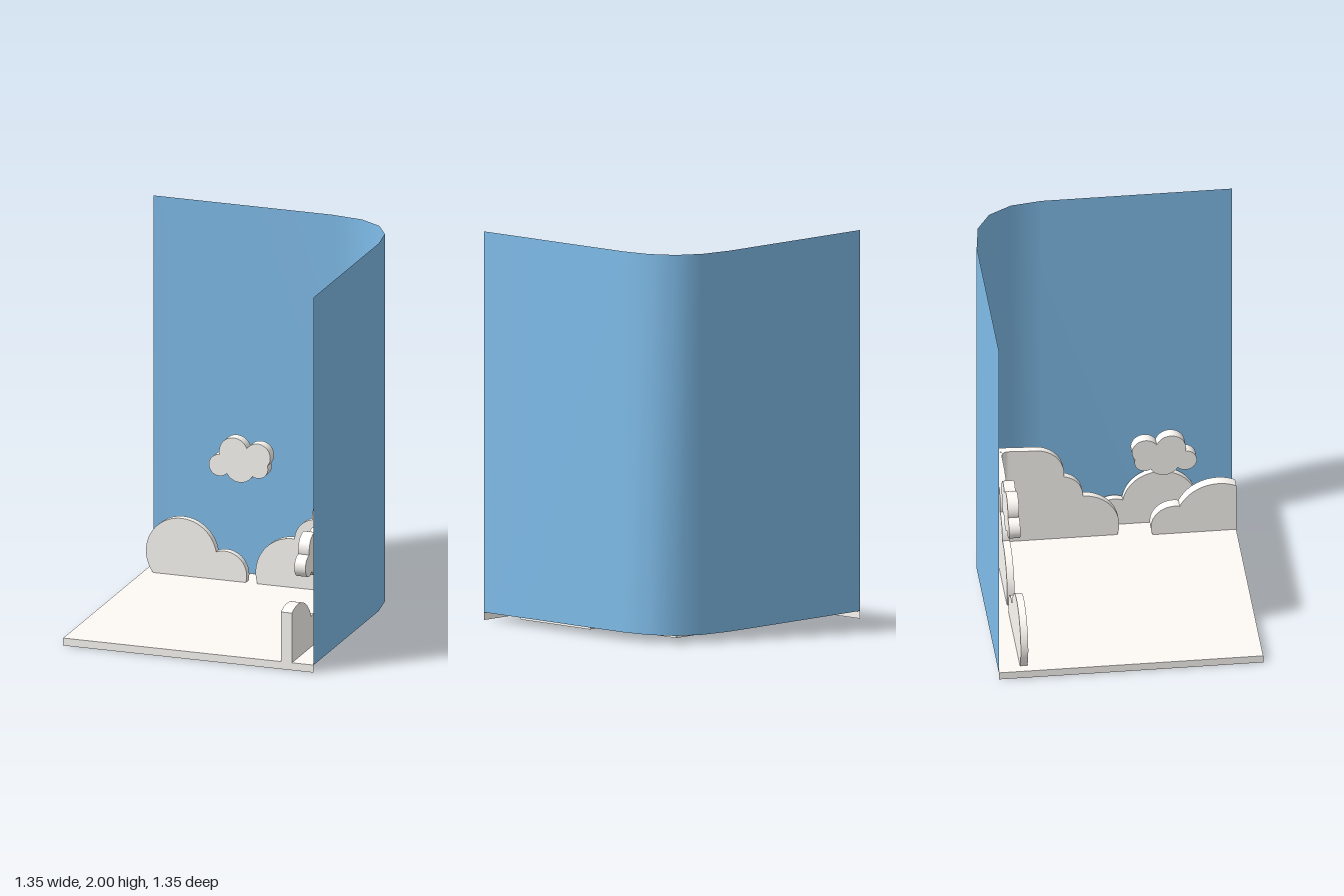
import * as THREE from 'three';

const white = new THREE.MeshStandardMaterial({ color: 0xfefbf6, side: THREE.DoubleSide });
const blue = new THREE.MeshStandardMaterial({ color: 0x80bdea, side: THREE.DoubleSide });
const FLOOR = 0.04;  // top of the base
const ROOT = 0.025;  // clouds reach a little below it
const H = 0.677;

// Where two circles [x, y, r] cross, on the left of the line from a to b
function crossing(a, b) {
  const dx = b[0] - a[0], dy = b[1] - a[1], d = Math.hypot(dx, dy);
  const m = (d * d + a[2] ** 2 - b[2] ** 2) / (2 * d);
  const h = Math.sqrt(Math.max(0, a[2] ** 2 - m * m));
  return [a[0] + (dx * m - dy * h) / d, a[1] + (dy * m + dx * h) / d];
}

// Clockwise arc of a circle between two points
function arc(shape, c, p, q) {
  shape.absarc(c[0], c[1], c[2], Math.atan2(p[1] - c[1], p[0] - c[0]),
    Math.atan2(q[1] - c[1], q[0] - c[0]), true);
}

// Cloud rooted in the base; start and end replace the ends of the arcs
function groundCloud(circles, start, end) {
  const onFloor = (c, s) => [c[0] + s * Math.sqrt(c[2] ** 2 - (ROOT - c[1]) ** 2), ROOT];
  const n = circles.length, shape = new THREE.Shape();
  const first = start || onFloor(circles[0], -1);
  const last = end || onFloor(circles[n - 1], 1);
  shape.moveTo(first[0], ROOT);
  if (start) shape.lineTo(...start);
  circles.forEach((c, i) => arc(shape, c,
    i ? crossing(circles[i - 1], c) : first,
    i < n - 1 ? crossing(c, circles[i + 1]) : last));
  return shape;
}

// Closed ring of arcs
function floatingCloud(circles) {
  const n = circles.length, shape = new THREE.Shape();
  circles.forEach((c, i) => arc(shape, c,
    crossing(circles[(i + n - 1) % n], c), crossing(c, circles[(i + 1) % n])));
  return shape;
}

// One wing of the corner cloud: three rising lobes, then a flat top to x = end
function cornerWing(circles, end) {
  const c = circles[2];
  const wing = groundCloud(circles, null, [c[0] + 0.012, c[1] + c[2] - 0.001]);
  wing.lineTo(end - 0.06, 0.587);
  wing.lineTo(end, 0.588);
  wing.lineTo(end, ROOT);
  return wing;
}

export function createModel() {
  const group = new THREE.Group();
  const add = (name, geometry, material = white) => {
    const mesh = new THREE.Mesh(geometry, material);
    mesh.name = name;
    group.add(mesh);
    return mesh;
  };
  const extrude = (shape, depth) =>
    new THREE.ExtrudeGeometry(shape, { depth, bevelEnabled: false, curveSegments: 28 });
  // Upright slab facing the front, or turned along the side wall
  const slab = (name, shape, depth, x, y, z, turned) => {
    const mesh = add(name, extrude(shape, depth));
    mesh.position.set(x, y, z);
    if (turned) mesh.rotation.y = Math.PI / 2;
  };

  // Plan of the wall, from the front of the side to the left of the back
  const wallPlan = [[H, H], [H, -0.30], [0.652, -0.46], [0.58, -0.58], [0.46, -0.652], [0.29, -H], [-H, -H]];

  // Base: a thin sheet with a lip along the front and the left
  const plan = new THREE.Shape([...wallPlan, [-H, H]].map(([x, z]) => new THREE.Vector2(x, -z)));
  add('baseSheet', new THREE.ShapeGeometry(plan).rotateX(-Math.PI / 2).translate(0, FLOOR, 0));
  const lip = () => new THREE.PlaneGeometry(2 * H, FLOOR).translate(0, FLOOR / 2, H);
  add('frontLip', lip());
  add('leftLip', lip().rotateY(-Math.PI / 2));

  // Thin wall bent around the corner
  const n = wallPlan.length;
  const wall = new THREE.PlaneGeometry(1, 1, n - 1, 1);
  const p = wall.attributes.position;
  for (let i = 0; i < p.count; i++) {
    const [x, z] = wallPlan[i % n];
    p.setXYZ(i, x, i < n ? 2 : FLOOR, z);
  }
  wall.computeVertexNormals();
  add('wall', wall, blue);

  // Low cloud, once at the back and once beside the side wall
  const low = groundCloud([[-0.472, 0.154, 0.191], [-0.238, 0.075, 0.12]]);
  slab('backLowCloud', low, 0.038, 0, 0, -0.563);
  slab('sideLowCloud', low, 0.037, 0.616, 0, -0.174, true);

  // Floating cloud, once at the back and once at the side
  const floating = floatingCloud([
    [-0.266, 0.65, 0.057], [-0.19, 0.727, 0.077], [-0.06, 0.716, 0.069],
    [-0.058, 0.655, 0.054], [-0.156, 0.65, 0.08],
  ]);
  slab('backFloatingCloud', floating, 0.058, 0, 0, -0.583);
  slab('sideFloatingCloud', floating, 0.06, 0.5, -0.17, 0.152, true);

  // Tall cloud in two wings that meet in the corner
  const backWing = cornerWing([[0.13, 0.1, 0.2], [0.26, 0.295, 0.12], [0.388, 0.43, 0.152]], 0.56);
  slab('cornerCloudBack', backWing, 0.038, 0, 0, -0.563);
  const sideWing = cornerWing([[0.108, 0.1, 0.188], [0.226, 0.295, 0.12], [0.354, 0.43, 0.152]], 0.53);
  slab('cornerCloudSide', sideWing, 0.038, 0.522, 0, 0, true);
  const fillet = new THREE.Shape();
  fillet.moveTo(0.522, 0.525);
  fillet.lineTo(0.482, 0.525);
  fillet.quadraticCurveTo(0.522, 0.525, 0.522, 0.485);
  add('cornerCloudFillet', extrude(fillet, 0.547).rotateX(-Math.PI / 2).translate(0, FLOOR, 0));

  // Cloud at the front of the side, cut off flush with the base
  const cut = groundCloud([[-0.585, 0.105, 0.22], [-0.36, 0.085, 0.12]], [-H, 0.304]);
  slab('frontCloud', cut, 0.06, 0.5, 0, 0, true);

  return group;
}
